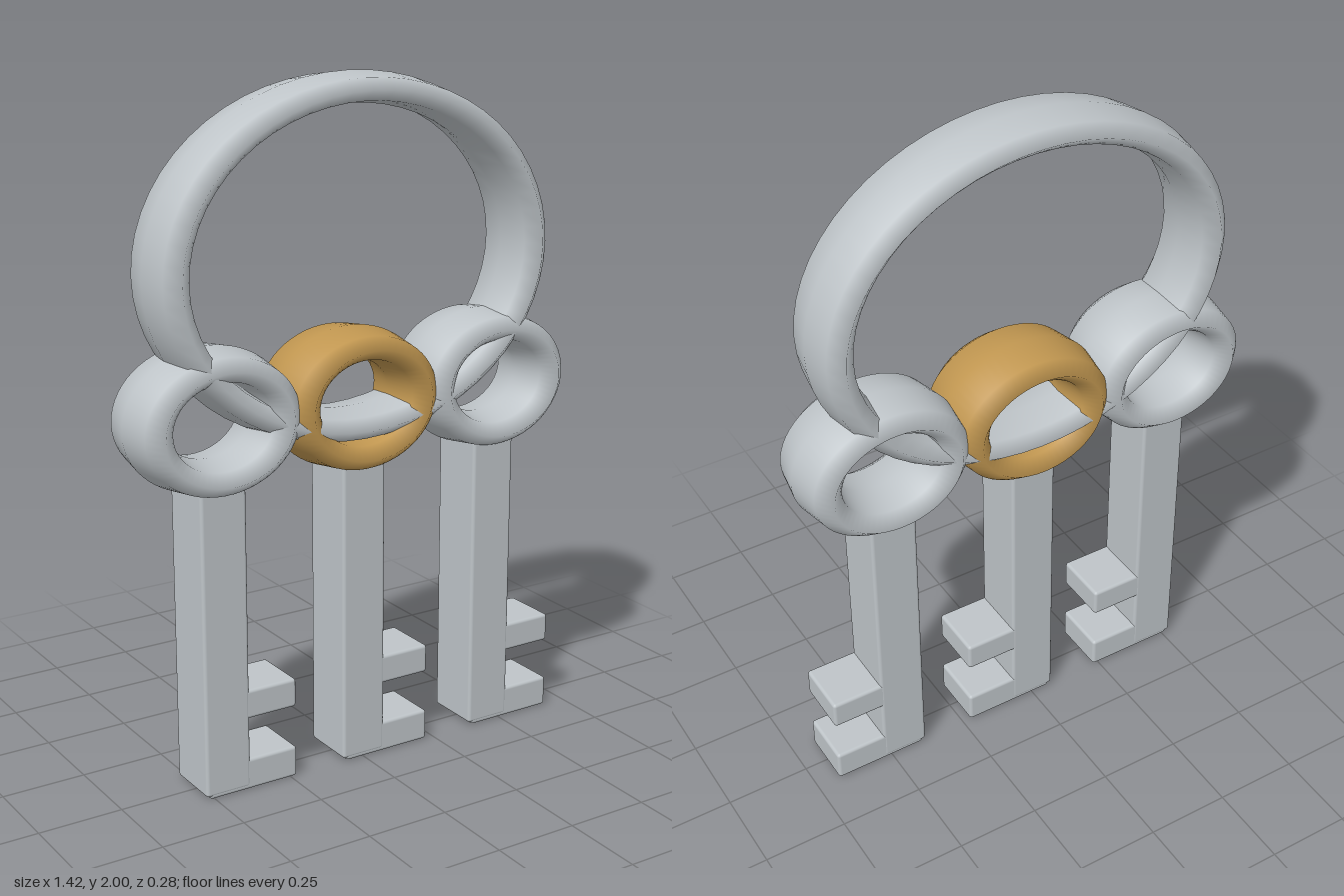
import * as THREE from 'three';
import { RoundedBoxGeometry } from 'three/addons/geometries/RoundedBoxGeometry.js';

export function createModel() {
  const model = new THREE.Group();
  model.name = 'keyRing';

  const silver = new THREE.MeshStandardMaterial({ color: 0xbec4c8 });
  silver.name = 'silver';
  const gold = new THREE.MeshStandardMaterial({ color: 0xc09650 });
  gold.name = 'gold';

  // Oval band: a torus squashed in height and widened in depth
  function band(name, outer, inner, depth, material) {
    const tube = (outer - inner) / 2;
    const geometry = new THREE.TorusGeometry((outer + inner) / 2, tube, 8, 56);
    geometry.scale(1, 0.805, depth / (2 * tube));
    const mesh = new THREE.Mesh(geometry, material);
    mesh.name = name;
    return mesh;
  }

  // Softly bevelled bar given by its edges
  function bar(name, x0, x1, y0, y1, depth) {
    const geometry = new RoundedBoxGeometry(x1 - x0, y1 - y0, depth, 2, 0.01);
    const mesh = new THREE.Mesh(geometry, silver);
    mesh.name = name;
    mesh.position.set((x0 + x1) / 2, (y0 + y1) / 2, 0);
    return mesh;
  }

  // Large carrying ring
  const ring = band('carryingRing', 0.64, 0.53, 0.26, silver);
  ring.position.y = 1.485;
  model.add(ring);

  // Three keys: loop, shaft and two teeth each
  const keys = [['rightKey', -0.455, silver], ['middleKey', 0, gold], ['leftKey', 0.455, silver]];
  for (const [name, x, loopMaterial] of keys) {
    const key = new THREE.Group();
    key.name = name;
    key.position.x = x;
    const loop = band('keyLoop', 0.255, 0.137, 0.284, loopMaterial);
    loop.position.y = 1.088;
    key.add(
      loop,
      bar('keyShaft', -0.071, 0.071, 0.008, 0.93, 0.176),
      bar('lowerTooth', -0.06, 0.225, 0, 0.094, 0.174),
      bar('upperTooth', 0, 0.225, 0.218, 0.305, 0.174)
    );
    model.add(key);
  }

  return model;
}
